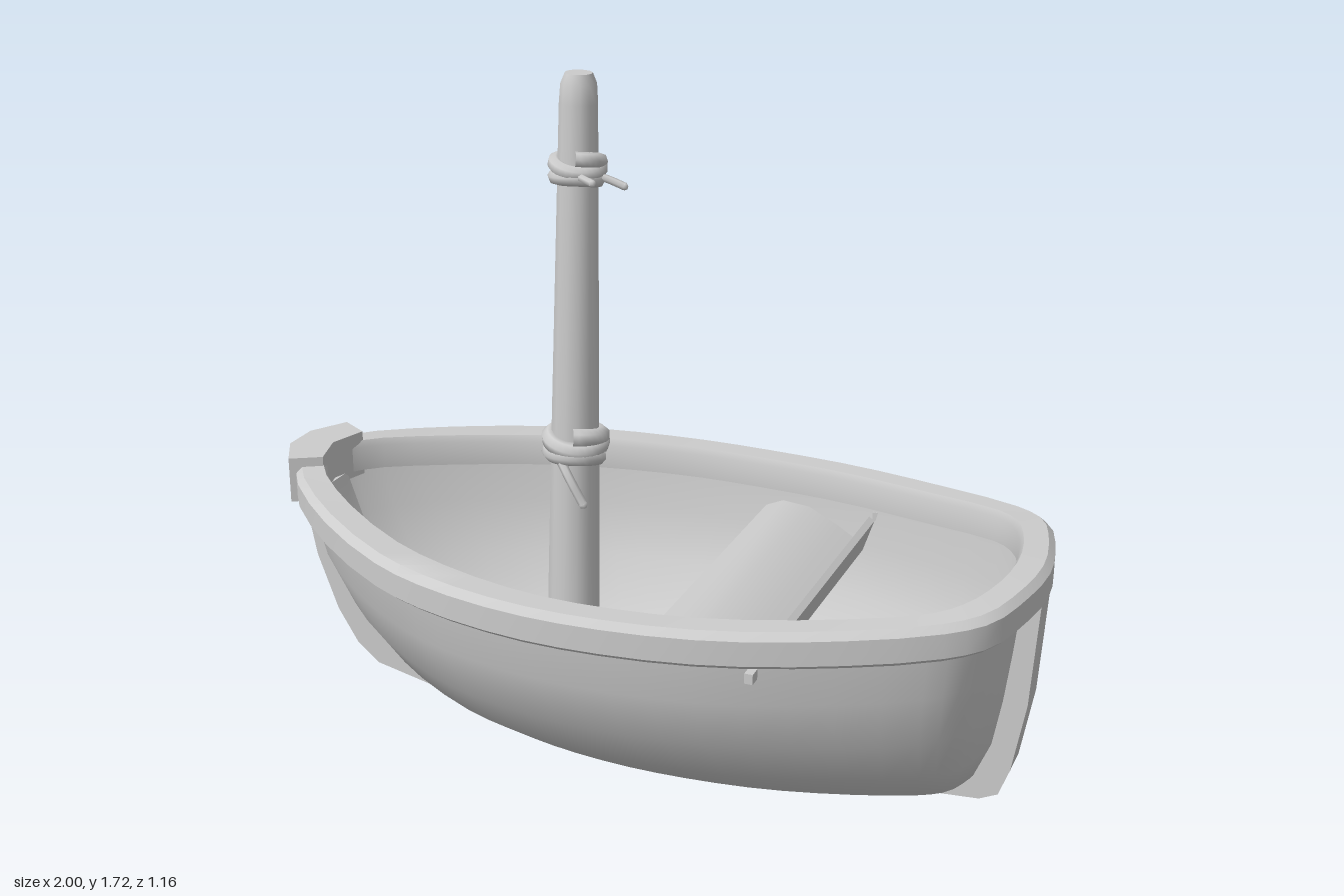
import * as THREE from 'three';
import { toCreasedNormals } from 'three/addons/utils/BufferGeometryUtils.js';

const V = (x, y, z) => new THREE.Vector3(x, y, z);
const lerp = THREE.MathUtils.lerp;
const SEGMENTS = 56;

// Half plan of the gunwale, bow to stern: outer x, outer z, inner x, inner z
const PLAN = [
  [-0.98, 0, -0.9, 0], [-0.93, 0.14, -0.86, 0.1], [-0.75, 0.32, -0.72, 0.23],
  [-0.5, 0.48, -0.49, 0.375], [-0.33, 0.54, -0.3, 0.445], [-0.1, 0.575, -0.08, 0.487],
  [0.12, 0.573, 0.12, 0.487], [0.37, 0.54, 0.35, 0.458], [0.62, 0.465, 0.6, 0.385],
  [0.85, 0.365, 0.8, 0.305], [0.935, 0.29, 0.86, 0.24], [0.98, 0.15, 0.9, 0.13], [1, 0, 0.915, 0],
];

// Mirrors the half plan into a closed smooth loop
function planLoop(offset) {
  const side = PLAN.map((p) => V(p[offset], 0, p[offset + 1]));
  const other = side.slice(1, -1).reverse().map((p) => V(p.x, 0, -p.z));
  const curve = new THREE.CatmullRomCurve3([...side, ...other], true);
  return Array.from({ length: SEGMENTS }, (_, i) => curve.getPoint(i / SEGMENTS));
}

const sheer = (x) => 0.05 * x * x;

// Skins a stack of closed loops
function skin(loops, closed) {
  const n = loops[0].length;
  const index = [];
  const last = closed ? loops.length : loops.length - 1;
  for (let i = 0; i < last; i++) {
    for (let j = 0; j < n; j++) {
      const k = (j + 1) % n, up = (i + 1) % loops.length;
      const a = i * n + j, b = i * n + k, c = up * n + k, d = up * n + j;
      index.push(a, b, c, a, c, d);
    }
  }
  const geometry = new THREE.BufferGeometry().setFromPoints(loops.flat());
  geometry.setIndex(index);
  geometry.computeVertexNormals();
  return geometry;
}

function polygon(points) {
  return new THREE.Shape(points.map(([x, y]) => new THREE.Vector2(x, y)));
}

export function createModel() {
  const group = new THREE.Group();
  const grey = new THREE.MeshStandardMaterial({ color: 0xcccccc, side: THREE.DoubleSide });
  grey.name = 'plain grey';
  const add = (name, geometry, parent = group) => {
    const mesh = new THREE.Mesh(geometry, grey);
    mesh.name = name;
    parent.add(mesh);
    return mesh;
  };

  const outer = planLoop(0);
  const inner = planLoop(2);

  // Hull: height, half width, bow x, stern x of each level
  const levels = [
    [0.02, 0, -0.42, 0.74], [0.03, 0.13, -0.5, 0.8], [0.08, 0.27, -0.62, 0.87],
    [0.17, 0.385, -0.75, 0.905], [0.29, 0.475, -0.84, 0.925], [0.42, 0.52, -0.91, 0.94],
    [0.575, 0.535, -0.955, 0.955],
  ];
  add('hull', skin(levels.map(([y, w, bow, stern]) => outer.map((p) => {
    const x = lerp(bow, stern, (p.x + 0.98) / 1.98);
    return V(x, y + sheer(x), p.z / 0.575 * w);
  })), false));

  // Gunwale: section points as (0 outer .. 1 inner, height)
  const section = [[0.12, 0.535], [0, 0.545], [0, 0.605], [0.2, 0.622], [0.9, 0.622], [1, 0.605], [1, 0.54]];
  add('gunwale', toCreasedNormals(skin(section.map(([t, y]) => outer.map((p, j) => {
    const q = p.clone().lerp(inner[j], t);
    q.y = y + sheer(p.x);
    return q;
  })), true), 0.7));

  // Keel with stem and sternpost in one curved strip
  const keel = new THREE.ExtrudeGeometry(polygon([
    [-0.98, 0.59], [-0.94, 0.38], [-0.885, 0.23], [-0.83, 0.14], [-0.77, 0.09], [-0.6, 0.053],
    [-0.4, 0.02], [-0.1, 0.003], [0.15, 0], [0.5, 0.028], [0.88, 0.058], [0.925, 0.08],
    [0.95, 0.15], [0.98, 0.33], [0.995, 0.6],
    [0.9, 0.6], [0.885, 0.35], [0.84, 0.16], [0.76, 0.09], [0.5, 0.06], [0, 0.045],
    [-0.35, 0.055], [-0.58, 0.12], [-0.72, 0.24], [-0.83, 0.42], [-0.89, 0.59],
  ]), { depth: 0.09, bevelEnabled: false });
  keel.translate(0, 0, -0.045);
  add('keel', toCreasedNormals(keel, 0.6));

  // Chevron cap over the bow
  const cap = new THREE.ExtrudeGeometry(polygon([
    [-1, -0.05], [-0.945, -0.145], [-0.87, -0.1], [-0.9, 0], [-0.87, 0.1], [-0.945, 0.145], [-1, 0.05],
  ]), { depth: 0.12, bevelEnabled: false });
  cap.rotateX(-Math.PI / 2).translate(0, 0.57, 0);
  add('bowCap', cap);

  // Bench with a raised rear edge, narrowing with the hull
  const bench = new THREE.ExtrudeGeometry(polygon([
    [0.13, 0.43], [0.13, 0.48], [0.18, 0.505], [0.26, 0.505], [0.35, 0.47],
    [0.39, 0.45], [0.435, 0.52], [0.45, 0.51], [0.42, 0.42],
  ]), { depth: 1, bevelEnabled: false });
  bench.translate(0, 0, -0.5);
  const pos = bench.attributes.position;
  for (let i = 0; i < pos.count; i++) {
    const x = pos.getX(i);
    pos.setZ(i, pos.getZ(i) * (1.03 - (x - 0.13) * 0.38));
  }
  bench.computeVertexNormals();
  add('bench', toCreasedNormals(bench, 0.6));

  // Leaning tapered mast on a round step
  const mastProfile = [
    [0, 0], [0.07, 0], [0.061, 0.7], [0.046, 1.62], [0.043, 1.665], [0.033, 1.69], [0, 1.69],
  ].map(([r, y]) => new THREE.Vector2(r, y));
  const mast = add('mast', toCreasedNormals(new THREE.LatheGeometry(mastProfile, 12), 0.6));
  mast.position.set(-0.215, 0.03, 0);
  mast.rotation.z = -0.024;
  const step = add('mastStep', new THREE.CylinderGeometry(0.085, 0.115, 0.07, 12));
  step.position.set(-0.225, 0.06, 0);

  // Rope lashings: a coil of two turns with loose ends
  function lashing(name, x, y, radius, thick, rise, tails) {
    const rope = new THREE.Group();
    rope.name = name;
    rope.position.set(x, y, 0);
    group.add(rope);
    const coil = Array.from({ length: 33 }, (_, i) => {
      const a = i / 32 * Math.PI * 4.4;
      return V(Math.cos(a) * radius, (i / 32 - 0.5) * rise + 0.006 * Math.sin(a * 1.5), Math.sin(a) * radius);
    });
    add('ropeCoil', new THREE.TubeGeometry(new THREE.CatmullRomCurve3(coil), 60, thick, 7), rope);
    for (const tail of tails) {
      const path = new THREE.CatmullRomCurve3(tail.map((p) => V(...p)));
      add('ropeEnd', new THREE.TubeGeometry(path, 6, thick * 0.5, 6), rope);
      const tip = add('ropeTip', new THREE.SphereGeometry(thick * 0.5, 6, 4), rope);
      tip.position.set(...tail[tail.length - 1]);
    }
  }
  lashing('lowerLashing', -0.195, 0.8, 0.063, 0.023, 0.055, [
    [[-0.02, -0.02, 0.06], [0.02, -0.07, 0.08], [0.055, -0.13, 0.08]],
  ]);
  lashing('upperLashing', -0.18, 1.495, 0.053, 0.019, 0.05, [
    [[0.04, -0.01, 0.01], [0.08, -0.022, 0], [0.118, -0.036, -0.005]],
    [[0.02, -0.01, 0.045], [0.05, -0.01, 0.07], [0.08, -0.01, 0.095]],
  ]);

  // Small pegs on both sides of the hull
  for (const side of [-1, 1]) {
    const peg = add('peg', new THREE.BoxGeometry(0.02, 0.025, 0.03));
    peg.position.set(0.45, 0.515, side * 0.485);
  }
  return group;
}
